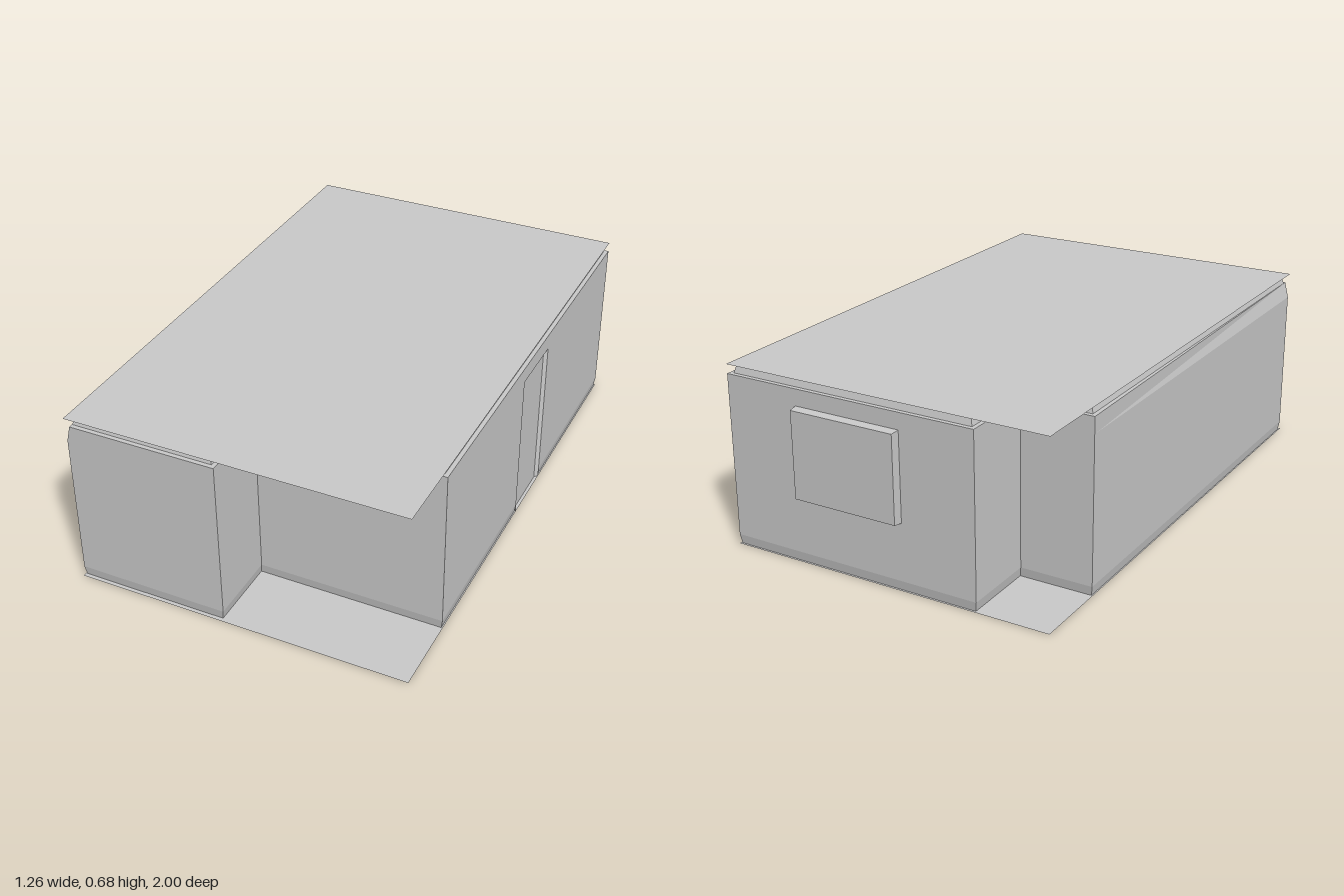
import * as THREE from 'three';

const material = new THREE.MeshStandardMaterial({ color: 0xcccccc, side: THREE.DoubleSide, flatShading: true });

// Mesh from a list of four-cornered faces, each counter-clockwise from outside
function quadMesh(name, quads) {
  const positions = [];
  for (const [a, b, c, d] of quads) positions.push(...a, ...b, ...c, ...a, ...c, ...d);
  const geometry = new THREE.BufferGeometry();
  geometry.setAttribute('position', new THREE.Float32BufferAttribute(positions, 3));
  geometry.computeVertexNormals();
  const mesh = new THREE.Mesh(geometry, material);
  mesh.name = name;
  return mesh;
}

// Thin horizontal slab covering the whole plan
function slab(name, y, facing) {
  const geometry = new THREE.PlaneGeometry(1.26, 1.97).rotateX(-facing * Math.PI / 2);
  const mesh = new THREE.Mesh(geometry, material);
  mesh.name = name;
  mesh.position.set(0, y, 0.015);
  return mesh;
}

export function createModel() {
  const model = new THREE.Group();
  model.name = 'room';
  const door = { back: -0.25, front: 0, top: 0.58 };

  // Plan outline: x, z and the outward direction at each corner
  const plan = [
    [-0.63, -0.685, -1, -1], [-0.357, -0.685, -1, -1], [-0.357, -0.967, -1, -1],
    [0.63, -0.967, 1, -1], [0.63, door.back, 1, 0], [0.63, door.front, 1, 0],
    [0.63, 0.715, 1, 1], [-0.065, 0.715, 1, 1], [-0.065, 0.99, 1, 1], [-0.63, 0.99, -1, 1],
  ];
  const doorSegment = 4, leaningCorner = 9;

  // Wall section: height and outward offset
  const section = [[0, -0.005], [0.035, 0], [door.top, 0], [0.64, 0], [0.64, -0.016], [0.675, -0.025]];
  const rings = section.map(([y, offset], row) => plan.map(([x, z, dx, dz], i) => {
    const lean = i === leaningCorner && row === 3 ? 0.015 : 0; // front corner leans in at the top
    return [x + dx * offset + lean, y, z + dz * offset];
  }));
  const bands = { skirting: [0], walls: [1, 2], cornice: [3, 4] };
  for (const [name, rows] of Object.entries(bands)) {
    const quads = [];
    for (const r of rows) {
      for (let i = 0; i < plan.length; i++) {
        if (i === doorSegment && r < 2) continue; // door opening
        const j = (i + 1) % plan.length;
        quads.push([rings[r][j], rings[r][i], rings[r + 1][i], rings[r + 1][j]]);
      }
    }
    model.add(quadMesh(name, quads));
  }

  // Door: a sunken panel inside a bevelled frame
  const bevel = 0.013, sunk = 0.618;
  const outer = [[0.63, 0, door.front], [0.63, door.top, door.front], [0.63, door.top, door.back], [0.63, 0, door.back]];
  const inner = [
    [sunk, 0, door.front - bevel], [sunk, door.top - bevel, door.front - bevel],
    [sunk, door.top - bevel, door.back + bevel], [sunk, 0, door.back + bevel],
  ];
  const frame = [0, 1, 2].map((i) => [outer[i], inner[i], inner[i + 1], outer[i + 1]]);
  model.add(quadMesh('doorFrame', frame));
  model.add(quadMesh('doorPanel', [[inner[0], inner[3], inner[2], inner[1]]]));

  // Window box on the back wall, slightly tapered outwards
  const box = new THREE.BoxGeometry(0.415, 0.33, 0.035);
  const p = box.attributes.position;
  for (let i = 0; i < p.count; i++) {
    if (p.getZ(i) < 0) p.setXY(i, p.getX(i) - Math.sign(p.getX(i)) * 0.004, p.getY(i) - Math.sign(p.getY(i)) * 0.004);
  }
  const windowBox = new THREE.Mesh(box, material);
  windowBox.name = 'window';
  windowBox.position.set(0.135, 0.414, -0.9825);
  model.add(windowBox);

  model.add(slab('floor', 0, -1), slab('ceiling', 0.675, 1));
  return model;
}
